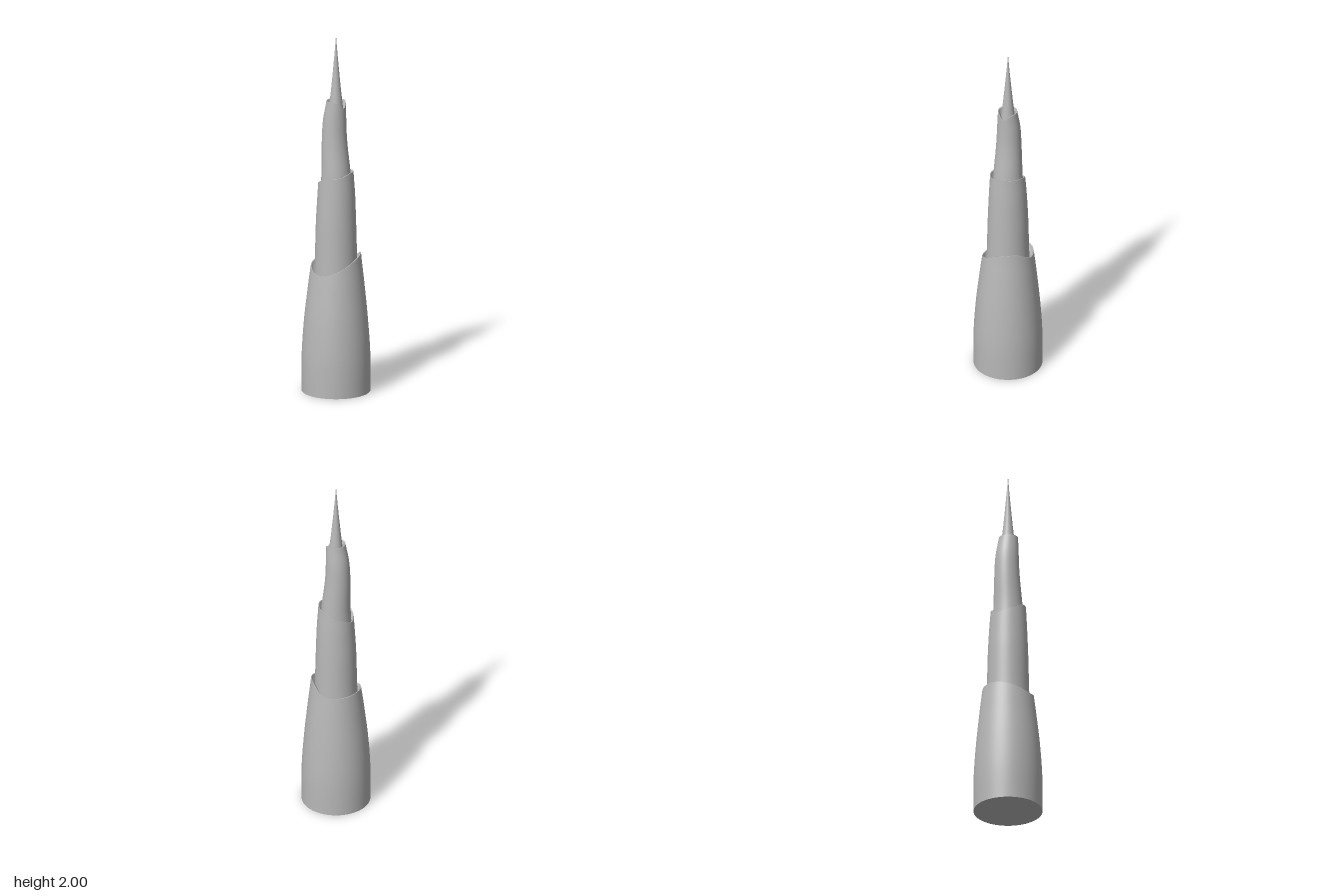
import * as THREE from 'three';

const SEG = 96;
const grey = new THREE.MeshStandardMaterial({ color: 0xb8b8b8 });
grey.name = 'plain grey';

// Skin between closed rings; rings are functions angle -> [x, y, z]
function loft(name, rings) {
  const pos = [], idx = [];
  for (const ring of rings) {
    for (let j = 0; j < SEG; j++) pos.push(...ring(j / SEG * Math.PI * 2));
  }
  for (let i = 0; i < rings.length - 1; i++) {
    for (let j = 0; j < SEG; j++) {
      const k = (j + 1) % SEG;
      const a = i * SEG + j, b = i * SEG + k, c = a + SEG, d = b + SEG;
      idx.push(a, c, b, b, c, d);
    }
  }
  const g = new THREE.BufferGeometry();
  g.setAttribute('position', new THREE.Float32BufferAttribute(pos, 3));
  g.setIndex(idx);
  g.computeVertexNormals();
  const mesh = new THREE.Mesh(g, grey);
  mesh.name = name;
  return mesh;
}

// Smooth periodic height of a wavy rim, eight values from +x towards +z
function wave(values) {
  const n = values.length;
  return (angle) => {
    const u = angle / (Math.PI * 2) * n, i = Math.floor(u), f = u - i;
    const [p, a, b, q] = [-1, 0, 1, 2].map((o) => values[(i + o + n) % n]);
    return a + 0.5 * f * (b - p + f * (2 * p - 5 * a + 4 * b - q + f * (3 * (a - b) + q - p)));
  };
}

// Radius and centre along a sheath, from [y, radius, centreX, centreZ] stations
function profile(stations) {
  const curve = (c) => new THREE.SplineCurve(stations.map((s) => new THREE.Vector2(s[0], s[c])));
  const curves = [1, 2, 3].map(curve);
  return (y) => {
    let i = 0;
    while (i < stations.length - 2 && y > stations[i + 1][0]) i++;
    const f = THREE.MathUtils.clamp((y - stations[i][0]) / (stations[i + 1][0] - stations[i][0]), 0, 1);
    return curves.map((c) => c.getPoint((i + f) / (stations.length - 1)).y);
  };
}

// Tapered sheath with a wavy top rim and a turned-in lip
function sheath(name, stations, rimHeights, lipDepth, lipIn) {
  const group = new THREE.Group();
  group.name = name;
  const at = profile(stations), rim = wave(rimHeights), y0 = stations[0][0];
  const point = (angle, y, inset = 0, drop = 0) => {
    const [r, cx, cz] = at(y);
    return [cx + (r - inset) * Math.cos(angle), y - drop, cz + (r - inset) * Math.sin(angle)];
  };
  const rows = [];
  for (let i = 0; i <= 28; i++) {
    rows.push((a) => point(a, y0 + (rim(a) - y0) * i / 28));
  }
  group.add(loft(name + 'Wall', rows));
  group.add(loft(name + 'Lip', [[0, 0], [0.003, -0.001], [0.007, 0.004], [0.011, 0.02], [lipIn, lipDepth]]
    .map(([inset, drop]) => (a) => point(a, rim(a), inset, drop))));
  return group;
}

export function createModel() {
  const model = new THREE.Group();
  model.name = 'tieredSpire';

  model.add(sheath('lowerSheath',
    [[0, 0.187, 0, 0], [0.2, 0.186, 0, 0], [0.4, 0.173, 0, 0], [0.6, 0.152, 0.002, 0.001], [0.8, 0.13, 0.004, 0.002]],
    [0.72, 0.77, 0.758, 0.705, 0.67, 0.695, 0.72, 0.72], 0.05, 0.04));

  model.add(sheath('middleSheath',
    [[0.58, 0.118, 0, 0], [0.75, 0.114, 0, 0], [0.95, 0.109, 0, 0], [1.1, 0.102, 0, 0.002], [1.25, 0.093, -0.002, 0.003]],
    [1.22, 1.232, 1.235, 1.215, 1.21, 1.175, 1.155, 1.185], 0.05, 0.035));

  model.add(sheath('upperSheath',
    [[1.06, 0.086, 0, 0], [1.22, 0.079, 0, 0], [1.4, 0.069, 0, -0.01], [1.52, 0.063, 0, -0.009], [1.65, 0.051, -0.002, 0.003]],
    [1.628, 1.625, 1.595, 1.625, 1.63, 1.63, 1.63, 1.63], 0.045, 0.03));

  // Concave needle tip
  const tipPoints = [[0.046, 1.5], [0.037, 1.6], [0.026, 1.7], [0.0165, 1.8], [0.0075, 1.9], [0, 2]]
    .map(([r, y]) => new THREE.Vector2(r, y));
  const tip = new THREE.Mesh(new THREE.LatheGeometry(tipPoints, 48), grey);
  tip.name = 'needleTip';
  model.add(tip);

  // Flat underside
  const base = new THREE.Mesh(new THREE.CircleGeometry(0.187, SEG), grey);
  base.name = 'baseCap';
  base.rotation.x = Math.PI / 2;
  model.add(base);

  return model;
}
